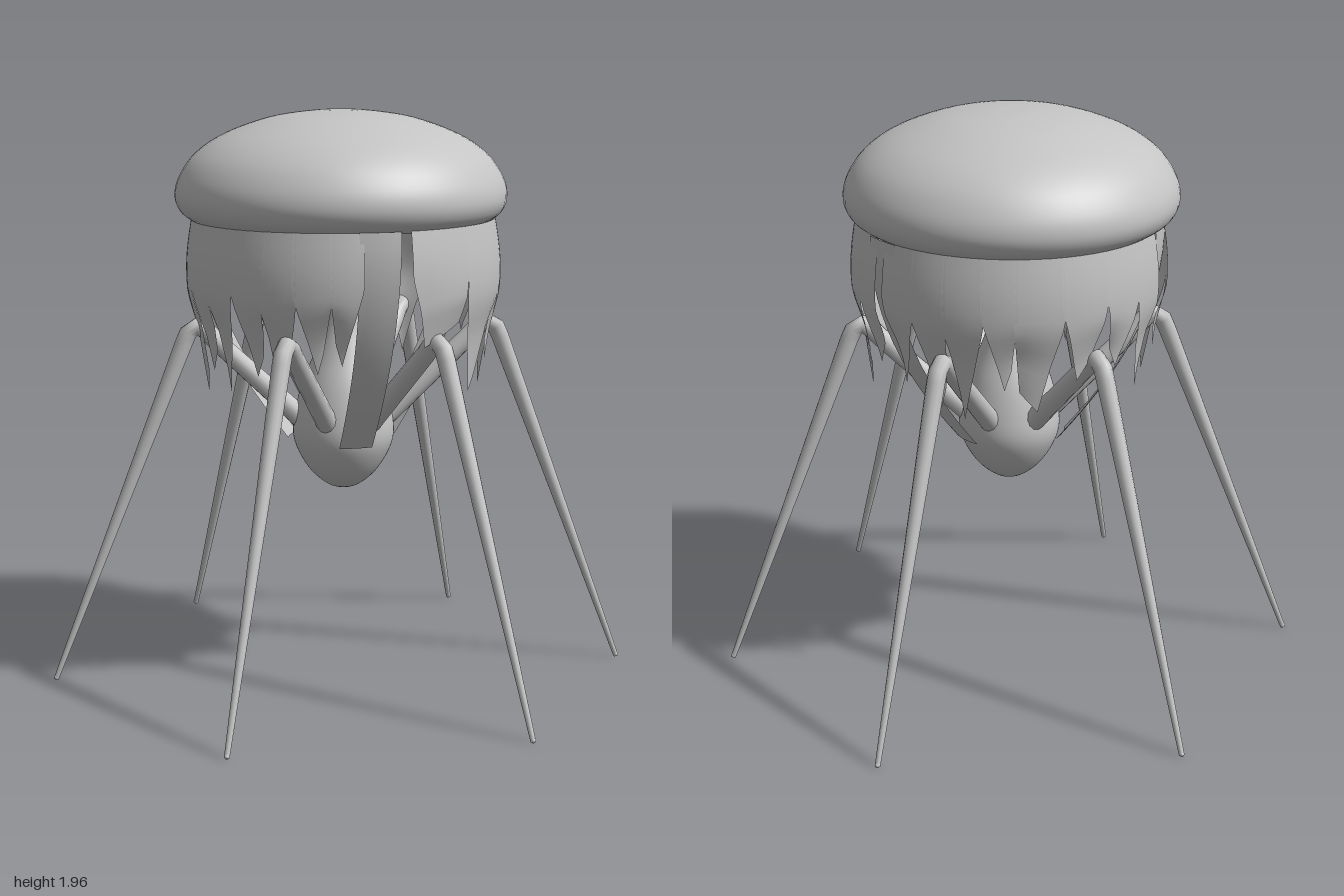
import * as THREE from 'three';

const V = (x, y, z) => new THREE.Vector3(x, y, z);

// Lathe from a few profile points, smoothed by a spline
function lathe(points, steps) {
  const curve = new THREE.SplineCurve(points.map(([r, y]) => new THREE.Vector2(r, y)));
  const profile = curve.getPoints(steps);
  profile.forEach(p => { p.x = Math.max(0, p.x); });
  return new THREE.LatheGeometry(profile, 64);
}

// Tube whose radius changes along its length
function taperedTube(curve, radiusAt, segments = 48, sides = 12) {
  const geo = new THREE.TubeGeometry(curve, segments, 1, sides, false);
  const pos = geo.attributes.position;
  const p = V();
  for (let i = 0; i <= segments; i++) {
    const c = curve.getPointAt(i / segments);
    const r = radiusAt(i / segments);
    for (let j = 0; j <= sides; j++) {
      const k = i * (sides + 1) + j;
      p.fromBufferAttribute(pos, k).sub(c).multiplyScalar(r).add(c);
      pos.setXYZ(k, p.x, p.y, p.z);
    }
  }
  return geo;
}

// Torn cloth strip hanging from the cap; azimuth 0 faces +z, 90 faces +x
function strip(azimuth, width, bottom, tip, skew, inward) {
  const rows = 14, cols = 5, top = 1.6;
  const geo = new THREE.PlaneGeometry(1, 1, cols, rows);
  const pos = geo.attributes.position;
  for (let i = 0; i <= rows; i++) {
    const t = i / rows;
    const y = top + (bottom - top) * t;
    const hang = 0.515 + 0.02 * Math.sin(Math.min(1, (top - y) / 0.36) * Math.PI)
      - 0.16 * Math.max(0, 1.35 - y);
    const r = inward ? 0.52 + 0.03 * Math.sin(t * Math.PI) - 0.33 * Math.pow(t, 1.6) : hang;
    const taper = Math.max(0, (t - 0.45) / 0.55);
    const half = inward ? 0.07 - 0.012 * t : r * THREE.MathUtils.degToRad(width) / 2
      * (1 - (1 - tip) * taper);
    for (let j = 0; j <= cols; j++) {
      const u = j / cols * 2 - 1;
      const a = THREE.MathUtils.degToRad(azimuth + skew * taper) + u * half / r;
      // a slanted lower edge keeps the tear irregular
      const tear = inward ? 0 : 0.035 * u * Math.sign(skew) * taper;
      pos.setXYZ(i * (cols + 1) + j, r * Math.sin(a), y + tear, r * Math.cos(a));
    }
  }
  geo.computeVertexNormals();
  return geo;
}

export function createModel() {
  const model = new THREE.Group();
  const grey = new THREE.MeshStandardMaterial({ color: 0xc4c4c4 });
  grey.name = 'pale grey';
  const cloth = new THREE.MeshStandardMaterial({ color: 0xc4c4c4, side: THREE.DoubleSide });
  cloth.name = 'pale grey cloth';
  const add = (name, geo, mat = grey, parent = model) => {
    const mesh = new THREE.Mesh(geo, mat);
    mesh.name = name;
    parent.add(mesh);
    return mesh;
  };

  // Domed cap with a flat underside
  const cap = add('cap', lathe([[0.505, 1.59], [0.545, 1.62], [0.563, 1.67], [0.548, 1.735],
    [0.495, 1.81], [0.4, 1.875], [0.25, 1.93], [0.1, 1.954], [0, 1.957]], 40));
  cap.position.set(-0.005, 0, -0.007);
  const underside = add('capUnderside', new THREE.CircleGeometry(0.505, 64));
  underside.rotation.x = Math.PI / 2;
  underside.position.set(-0.005, 1.59, -0.007);

  // Hanging bulb with a stalk that narrows up to the cap
  add('body', lathe([[0, 0.657], [0.05, 0.667], [0.11, 0.715], [0.155, 0.785], [0.174, 0.85],
    [0.166, 0.93], [0.14, 1.03], [0.095, 1.14], [0.058, 1.26], [0.045, 1.42], [0.045, 1.6]], 40));

  // Tattered skirt: azimuth, width, bottom height, tip share, skew
  const skirt = new THREE.Group();
  skirt.name = 'skirt';
  model.add(skirt);
  const strips = [
    [0, 25, 1.25, 0.7, 3], [27, 29, 1.07, 0.3, 2], [47, 14, 1.15, 0.1, -3], [58, 13, 1.05, 0.1, 2],
    [70, 15, 1.13, 0.15, -3], [82, 14, 1.2, 0.2, 4], [101, 16, 1.16, 0.1, -2], [114, 14, 1.1, 0.15, 3],
    [127, 15, 1.07, 0.1, -2], [140, 13, 1.18, 0.2, 3], [154, 18, 1.1, 0.4, -3], [171, 18, 1.2, 0.35, 2],
    [188, 17, 1.22, 0.2, -2], [203, 15, 1.1, 0.2, 3], [232, 13, 1.18, 0.1, -3], [244, 14, 1.05, 0.1, 2],
    [258, 15, 1.14, 0.2, 3], [272, 15, 1.08, 0.15, -2], [286, 14, 1.15, 0.2, 3], [299, 14, 1.04, 0.1, -2],
    [312, 15, 1.17, 0.15, 2], [324, 12, 1.2, 0.2, -3],
  ];
  strips.forEach(s => add('skirtStrip', strip(...s, false), cloth, skirt));
  // Long strips that fold in to the bulb
  [-24, 91, 218].forEach(a => add('longSkirtStrip', strip(a, 0, 0.83, 1, 0, true), cloth, skirt));

  // Six thin legs: rising to a knee under the skirt, then splaying to a point
  const feet = [[0.005, 0.99], [0.855, 0.49], [0.87, -0.46], [0.035, -0.99], [-0.875, -0.495], [-0.855, 0.52]];
  feet.forEach(([x, z]) => {
    const d = Math.hypot(x, z);
    const at = (r, y) => V(x / d * r, y, z / d * r);
    const path = new THREE.CurvePath();
    const a = at(0.1, 0.86), b = at(0.45, 1.19), c = at(0.545, 1.18);
    path.add(new THREE.LineCurve3(a, b));
    path.add(new THREE.QuadraticBezierCurve3(b, at(0.512, 1.275), c));
    path.add(new THREE.LineCurve3(c, V(x, 0.004, z)));
    const radius = t => t < 0.36 ? 0.038 - 0.022 * t : 0.03 - 0.021 * (t - 0.36) / 0.64;
    const leg = new THREE.Group();
    leg.name = 'leg';
    model.add(leg);
    add('legTube', taperedTube(path, radius), grey, leg);
    add('legTip', new THREE.SphereGeometry(0.009, 10, 6), grey, leg).position.set(x, 0.009, z);
  });
  return model;
}
